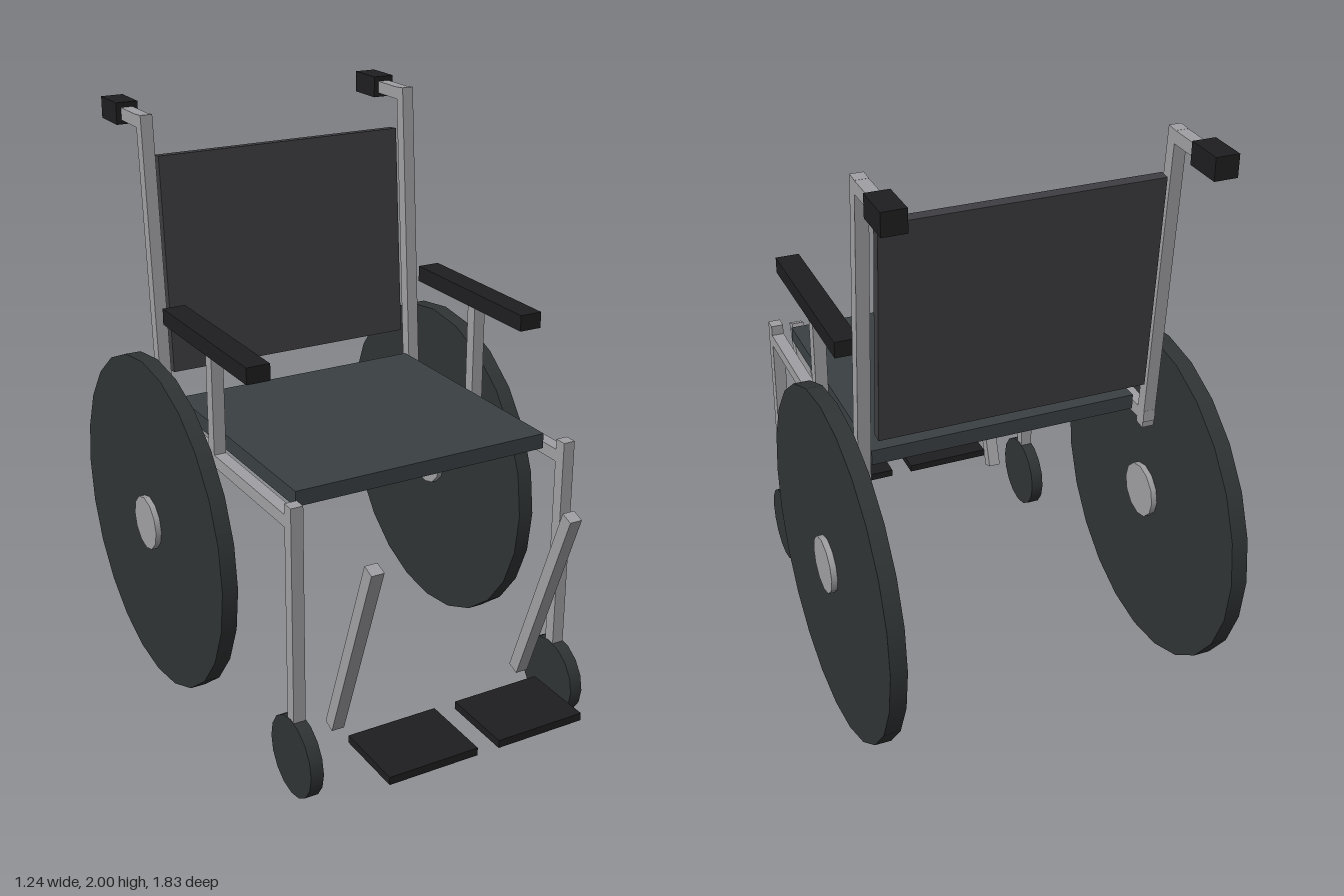
import * as THREE from 'three';

const mat = (color) => new THREE.MeshStandardMaterial({ color });

export function createModel() {
  const model = new THREE.Group();
  const metal = mat(0xa0a0a4);
  const fabric = mat(0x3a4043);
  const backFabric = mat(0x3e3e42);
  const rubber = mat(0x303435);
  const black = mat(0x1e1e20);

  const add = (name, geometry, material, x, y, z, parent = model) => {
    const mesh = new THREE.Mesh(geometry, material);
    mesh.name = name;
    mesh.position.set(x, y, z);
    parent.add(mesh);
    return mesh;
  };
  const box = (name, material, [w, h, d], [x, y, z], parent) =>
    add(name, new THREE.BoxGeometry(w, h, d), material, x, y, z, parent);
  // Disc with its axle along x
  const disc = (name, material, r, width, sides, [x, y, z], parent) =>
    add(name, new THREE.CylinderGeometry(r, r, width, sides).rotateZ(Math.PI / 2), material, x, y, z, parent);
  // Square bar between two points in a plane of constant x
  const bar = (name, x, [y0, z0], [y1, z1], parent, t = 0.042) => {
    const m = box(name, metal, [t, Math.hypot(y1 - y0, z1 - z0), t], [x, (y0 + y1) / 2, (z0 + z1) / 2], parent);
    m.rotation.x = Math.atan2(z1 - z0, y1 - y0);
    return m;
  };

  // Seat and tilted backrest
  box('seat', fabric, [0.91, 0.052, 0.87], [0, 0.995, 0.072]);
  const back = box('backrest', backFabric, [0.91, 0.744, 0.037], [0, 1.472, -0.443]);
  back.rotation.x = -0.073;

  // Everything else comes in left and right pairs
  for (const s of [1, -1]) {
    const side = new THREE.Group();
    side.name = s > 0 ? 'leftSide' : 'rightSide';
    model.add(side);
    const fx = 0.495 * s;

    // Wheels
    disc('rearWheel', rubber, 0.593, 0.055, 24, [0.573 * s, 0.598, -0.32], side);
    disc('rearHub', metal, 0.096, 0.095, 12, [0.573 * s, 0.598, -0.32], side);
    disc('caster', rubber, 0.137, 0.045, 16, [fx, 0.139, 0.573], side);

    // Frame tubes
    bar('frontPost', fx, [0.14, 0.573], [1.014, 0.573], side);
    bar('seatRail', fx, [0.957, 0.57], [0.957, -0.41], side);
    bar('backUpright', fx, [0.915, -0.384], [1.985, -0.462], side);
    bar('handleBar', fx, [1.962, -0.442], [1.962, -0.66], side);
    box('handGrip', black, [0.077, 0.073, 0.135], [fx, 1.9635, -0.677], side);

    // Armrest
    bar('armrestPost', fx, [0.96, 0.035], [1.34, 0.035], side);
    box('armrest', black, [0.08, 0.055, 0.633], [fx, 1.352, 0.037], side);

    // Leg strut and footplate
    bar('legStrut', 0.355 * s, [0.203, 0.566], [0.872, 0.809], side, 0.044);
    box('footplate', black, [0.317, 0.027, 0.253], [0.198 * s, 0.202, 0.786], side);
  }
  return model;
}
